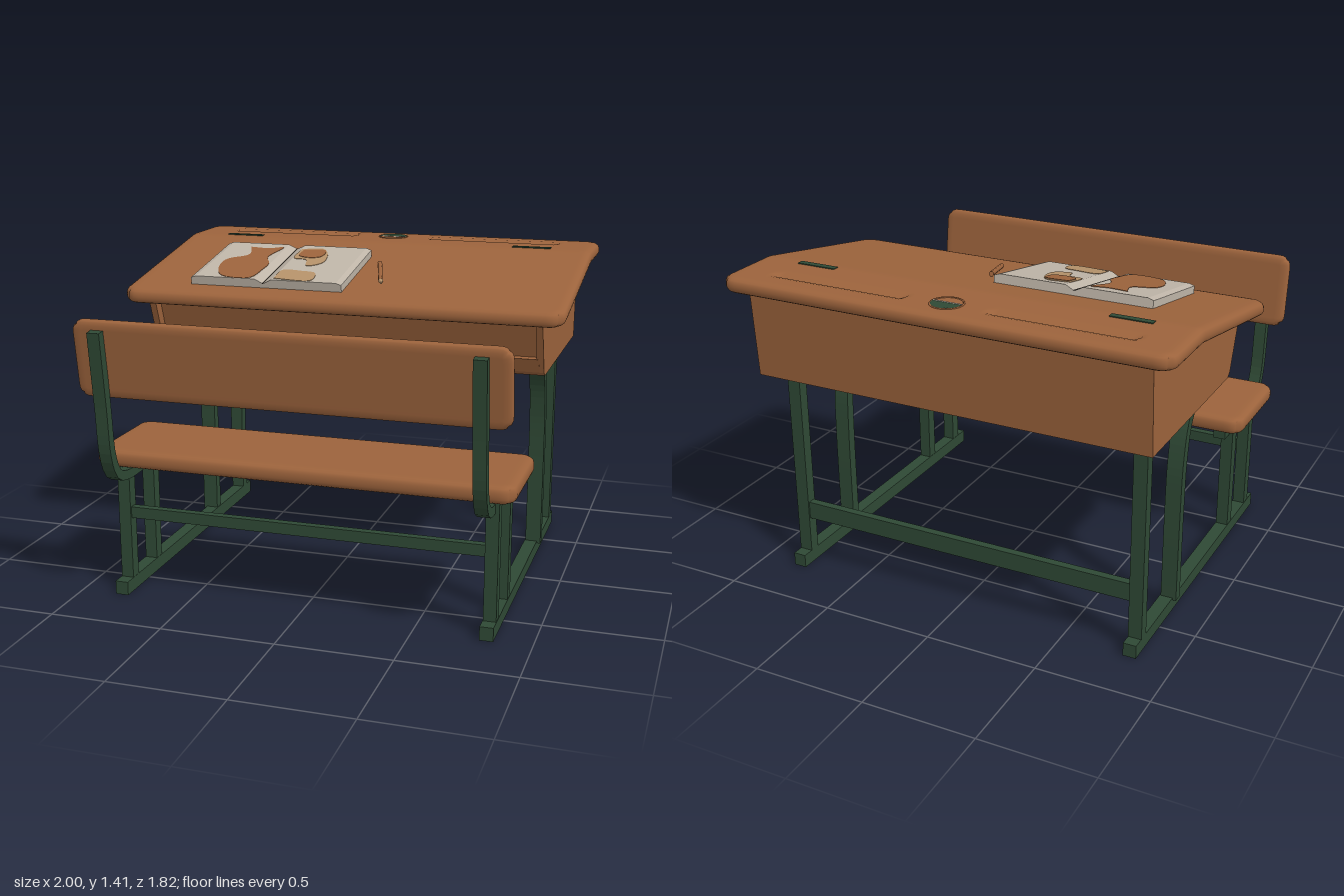
import * as THREE from 'three';
import { mergeVertices } from 'three/addons/utils/BufferGeometryUtils.js';

const mat = (name, color, side = THREE.FrontSide) => {
  const m = new THREE.MeshStandardMaterial({ color, side });
  m.name = name;
  return m;
};

// Height of the desk lid: flat at the back, sloping towards the sitter
const SLOPE = 0.182;
const lidTop = (z) => 1.402 - Math.max(0, z + 0.58) * SLOPE;

// Board with rounded edges and wider rounded corners in the (x, z) plane
function board(w, h, d, r, corner, step = 0.02) {
  let g = new THREE.BoxGeometry(w, h, d, Math.round(w / step), 6, Math.round(d / step));
  g.deleteAttribute('uv');
  g.deleteAttribute('normal');
  g = mergeVertices(g);
  const half = new THREE.Vector3(w / 2 - r, h / 2 - r, d / 2 - r);
  const low = half.clone().negate();
  const p = new THREE.Vector3(), inner = new THREE.Vector3();
  const pos = g.attributes.position;
  for (let i = 0; i < pos.count; i++) {
    p.fromBufferAttribute(pos, i);
    inner.copy(p).clamp(low, half);
    p.sub(inner).setLength(r);
    p.add(inner);
    // squeeze the square corner into a quarter disc
    const u = Math.abs(p.x) - (w / 2 - corner), v = Math.abs(p.z) - (d / 2 - corner);
    if (u > 0 && v > 0) {
      const k = Math.max(u, v) / Math.hypot(u, v);
      p.x = Math.sign(p.x) * (w / 2 - corner + u * k);
      p.z = Math.sign(p.z) * (d / 2 - corner + v * k);
    }
    pos.setXYZ(i, p.x, p.y, p.z);
  }
  g.computeVertexNormals();
  return g;
}

// Side profile given as [z, y], extruded across x and centred
function profileX(points, width) {
  const shape = new THREE.Shape(points.map(([z, y]) => new THREE.Vector2(-z, y)));
  const g = new THREE.ExtrudeGeometry(shape, { depth: width, bevelEnabled: false });
  return g.translate(0, 0, -width / 2).rotateY(Math.PI / 2);
}

// Flat bar bent along a path of [z, y] points
function bentBar(path, thick, width) {
  const curve = new THREE.CatmullRomCurve3(path.map(([z, y]) => new THREE.Vector3(z, y, 0)), false, 'centripetal');
  const a = [], b = [], n = 28;
  for (let i = 0; i <= n; i++) {
    const p = curve.getPointAt(i / n), t = curve.getTangentAt(i / n), k = thick / 2;
    a.push([p.x - t.y * k, p.y + t.x * k]);
    b.unshift([p.x + t.y * k, p.y - t.x * k]);
  }
  return profileX([...a, ...b], width);
}

export function createModel() {
  const root = new THREE.Group();
  root.name = 'schoolDesk';
  const wood = mat('wood', 0x9c633c);
  const green = mat('greenMetal', 0x2f4935);
  const paper = mat('paper', 0xbfb5a8);
  const tan = mat('tanPrint', 0xb5926a);
  const dark = mat('darkGap', 0x2a2520);

  const add = (name, geo, material, x = 0, y = 0, z = 0, parent = root) => {
    const m = new THREE.Mesh(geo, material);
    m.name = name;
    m.position.set(x, y, z);
    parent.add(m);
    return m;
  };
  const box = (name, material, w, h, d, x, y, z, parent) =>
    add(name, new THREE.BoxGeometry(w, h, d), material, x, y, z, parent);

  // Lid: bent along the slope, with two shallow pen grooves
  const lid = board(2, 0.066, 1.13, 0.03, 0.07);
  lid.translate(0, 0, -0.345);
  const lp = lid.attributes.position;
  for (let i = 0; i < lp.count; i++) {
    const x = Math.abs(lp.getX(i)), y = lp.getY(i), z = lp.getZ(i);
    const groove = y > 0.03 && x > 0.2 && x < 0.81 ? 0.014 * Math.exp(-(((z + 0.77) / 0.018) ** 2)) : 0;
    lp.setY(i, y + lidTop(z) - 0.033 - groove);
  }
  lid.computeVertexNormals();
  add('deskLid', lid, wood);

  // Desk box: full end boards, with the front set back between them
  const top = [[-0.58, 1.345], [-0.84, 1.345], [-0.815, 0.95]];
  add('deskBox', profileX([[0.1, 1.22], ...top, [0.01, 0.95]], 1.76), wood);
  for (const s of [-1, 1]) {
    add('deskEndBoard', profileX([[0.15, 1.21], ...top, [0.035, 0.95], [0.06, 0.968]], 0.03), wood, s * 0.885);
  }
  add('deskFrontLip', profileX([[0.085, 1.03], [0.04, 1.03], [0, 0.95], [0.035, 0.95], [0.06, 0.968]], 1.76), wood);

  // Inkwell and hinges
  const well = new THREE.CircleGeometry(0.068, 32, 0, Math.PI).rotateX(-Math.PI / 2);
  add('inkwell', well, green, 0, 1.405, -0.765);
  box('inkwellGap', paper, 0.13, 0.002, 0.008, 0, 1.404, -0.758);
  const rim = new THREE.TorusGeometry(0.068, 0.004, 6, 40).rotateX(Math.PI / 2);
  add('inkwellRim', rim, wood, 0, 1.402, -0.765);
  for (const s of [-1, 1]) box('hinge', green, 0.18, 0.008, 0.03, s * 0.715, 1.402, -0.605);

  // Seat and backrest
  add('seat', board(1.82, 0.075, 0.495, 0.03, 0.06), wood, 0, 0.622, 0.482);
  const back = board(1.82, 0.05, 0.335, 0.022, 0.05).rotateX(Math.PI / 2);
  add('backrest', back, wood, 0, 1.086, 0.826).rotation.x = 0.135;

  // Side frames
  for (const s of [-1, 1]) {
    const f = new THREE.Group();
    f.name = s > 0 ? 'leftFrame' : 'rightFrame';
    root.add(f);
    const x = s * 0.81;
    box('runner', green, 0.058, 0.06, 1.48, x, 0.03, -0.02, f);
    box('deskRearLeg', green, 0.06, 0.89, 0.05, x, 0.505, -0.682, f);
    box('deskBearer', green, 0.06, 0.04, 0.5, x, 0.932, -0.457, f);
    const leg = [[-0.332, 0.05], [-0.33, 0.5], [-0.32, 0.7], [-0.285, 0.85], [-0.222, 0.945]];
    add('deskFrontLeg', bentBar(leg, 0.045, 0.07), green, s * 0.82, 0, 0, f);
    for (const z of [0.632, 0.388]) box('seatPost', green, 0.055, 0.53, 0.054, x, 0.32, z, f);
    const support = [[0.3, 0.55], [0.5, 0.55], [0.7, 0.55], [0.775, 0.575], [0.822, 0.66],
      [0.85, 0.9], [0.885, 1.21]];
    add('backSupport', bentBar(support, 0.042, 0.055), green, s * 0.793, 0, 0, f);
  }
  box('seatStretcher', green, 1.58, 0.05, 0.035, 0, 0.36, 0.632);
  box('deskStretcher', green, 1.58, 0.08, 0.035, 0, 0.265, -0.682);

  // Open book lying on the slope
  const book = new THREE.Group();
  book.name = 'openBook';
  book.position.set(-0.35, lidTop(-0.13), -0.13);
  book.rotation.x = Math.atan(SLOPE);
  root.add(book);
  const H = 0.04;
  const pages = new THREE.Shape([[-0.355, 0], [0.355, 0], [0.355, H - 0.008], [0.33, H], [0.03, H],
    [-0.01, 0.02], [-0.05, H], [-0.33, H], [-0.355, H - 0.008]].map((p) => new THREE.Vector2(...p)));
  add('pages', new THREE.ExtrudeGeometry(pages, { depth: 0.48, bevelEnabled: false }), paper, 0, 0, -0.24, book);
  box('spineFold', dark, 0.006, 0.004, 0.48, -0.01, 0.021, 0, book);

  // Printed patches, as thin plates outlined in desk coordinates [x, z]
  const patch = (name, pts, material, y) => {
    const curve = new THREE.SplineCurve([...pts, pts[0]].map(([x, z]) => new THREE.Vector2(x + 0.35, -(z + 0.13))));
    const g = new THREE.ExtrudeGeometry(new THREE.Shape(curve.getPoints(50)), { depth: 0.002, bevelEnabled: false });
    add(name, g.rotateX(-Math.PI / 2), material, 0, y, 0, book);
  };
  patch('leftPicture', [[-0.57, -0.31], [-0.54, -0.2], [-0.62, -0.13], [-0.62, -0.02], [-0.56, 0.09],
    [-0.43, 0.1], [-0.405, -0.02], [-0.405, -0.1], [-0.44, -0.19], [-0.41, -0.32], [-0.48, -0.3]], wood, H);
  patch('rightPicture', [[-0.315, 0.09], [-0.15, 0.1], [-0.15, 0], [-0.22, -0.02], [-0.31, -0.02]], tan, H);
  patch('rightPictureTop', [[-0.315, -0.31], [-0.22, -0.33], [-0.17, -0.25], [-0.16, -0.14], [-0.22, -0.09],
    [-0.25, -0.17], [-0.315, -0.19]], tan, H);
  patch('rightPictureSquare', [[-0.3, -0.3], [-0.2, -0.305], [-0.19, -0.22], [-0.24, -0.195], [-0.3, -0.22]], wood, H + 0.002);

  // Pencil
  const pencil = new THREE.Group();
  pencil.name = 'pencil';
  const a = new THREE.Vector3(0.16, lidTop(0.02) + 0.012, 0.02);
  const b = new THREE.Vector3(0.075, lidTop(-0.26) + 0.012, -0.26);
  pencil.position.copy(a).lerp(b, 0.5);
  pencil.quaternion.setFromUnitVectors(new THREE.Vector3(0, 1, 0), b.clone().sub(a).normalize());
  add('pencilShaft', new THREE.CylinderGeometry(0.011, 0.011, 0.24, 8), wood, 0, 0.02, 0, pencil);
  add('pencilTip', new THREE.ConeGeometry(0.011, 0.045, 8).rotateX(Math.PI), tan, 0, -0.122, 0, pencil);
  root.add(pencil);

  return root;
}
